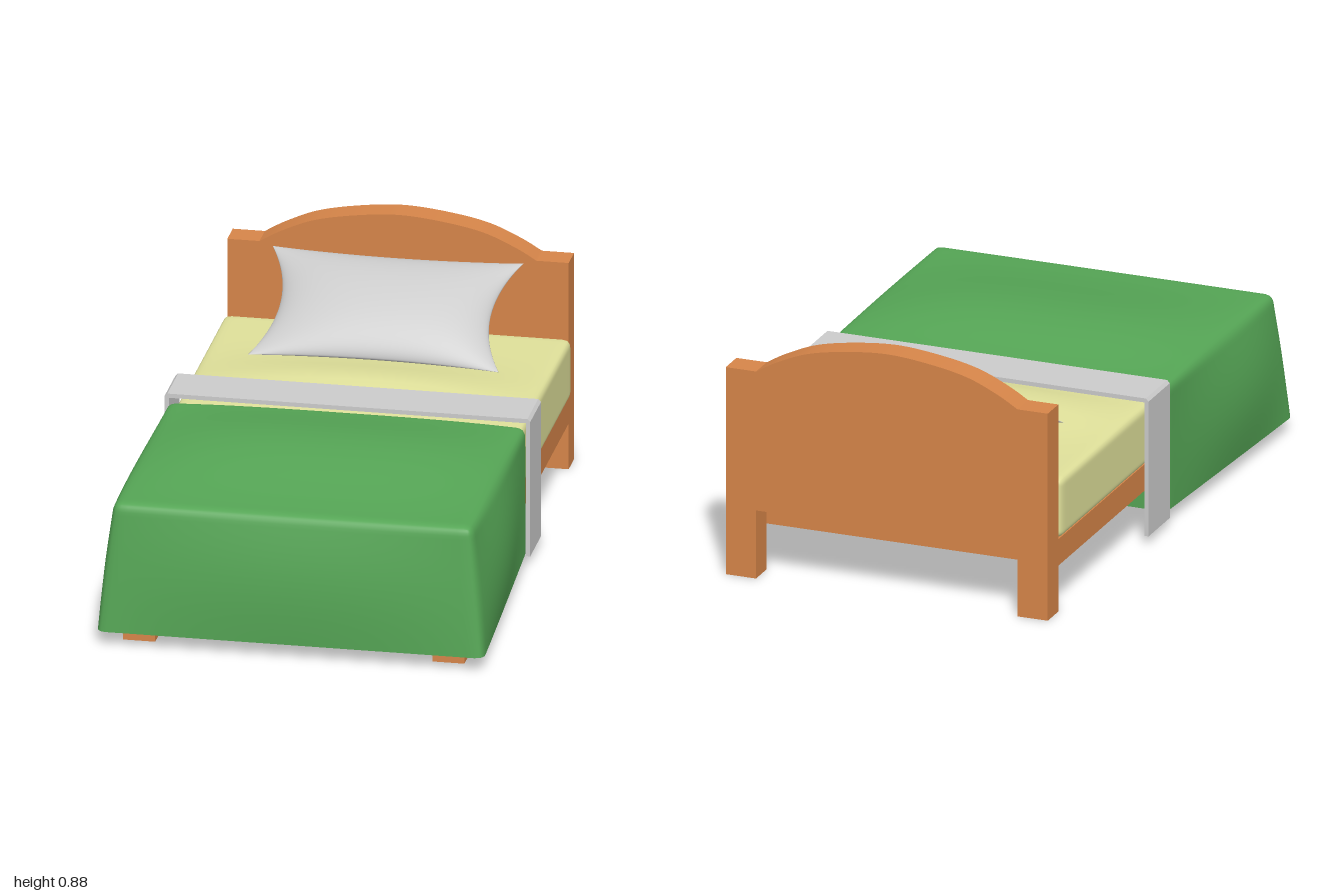
import * as THREE from 'three';
import { mergeVertices } from 'three/addons/utils/BufferGeometryUtils.js';

const material = (color, side = THREE.FrontSide) => new THREE.MeshStandardMaterial({ color, side });

function part(parent, name, geometry, mat, x = 0, y = 0, z = 0) {
  const mesh = new THREE.Mesh(geometry, mat);
  mesh.name = name;
  mesh.position.set(x, y, z);
  parent.add(mesh);
  return mesh;
}

// Moves every vertex by a rule, then welds and smooths the surface.
function warp(geometry, rule) {
  geometry.deleteAttribute('uv');
  geometry.deleteAttribute('normal');
  const pos = geometry.attributes.position;
  const p = new THREE.Vector3();
  for (let i = 0; i < pos.count; i++) {
    rule(p.fromBufferAttribute(pos, i));
    pos.setXYZ(i, p.x, p.y, p.z);
  }
  const smooth = mergeVertices(geometry, 1e-5);
  smooth.computeVertexNormals();
  return smooth;
}

// Rounded box from min to max, with its grid packed towards the edges.
// An open box has no floor and keeps its lower rim square.
function softBox(min, max, r, rule, open = false) {
  const n = 30;
  const box = new THREE.BoxGeometry(2, 2, 2, n, n, n);
  if (open) {
    const floor = box.groups[3];
    box.setIndex([...box.index.array].filter((_, i) => i < floor.start || i >= floor.start + floor.count));
  }
  const inMin = min.clone().addScalar(r), inMax = max.clone().addScalar(-r);
  if (open) inMin.y = min.y;
  const q = new THREE.Vector3();
  return warp(box, p => {
    for (const a of ['x', 'y', 'z']) {
      const s = (Math.sin(p[a] * Math.PI / 2) + 1) / 2;
      p[a] = min[a] + (max[a] - min[a]) * s;
    }
    q.copy(p).clamp(inMin, inMax);
    p.sub(q);
    if (p.lengthSq() > 0) p.setLength(r);
    p.add(q);
    rule(p);
  });
}

// Flat outline in x and y, given depth along z.
function slab(shape, z, depth) {
  return new THREE.ExtrudeGeometry(shape, { depth, bevelEnabled: false, curveSegments: 32 }).translate(0, 0, z);
}

export function createModel() {
  const bed = new THREE.Group();
  bed.name = 'bed';
  const wood = material(0xd68549);
  const V = (x, y, z) => new THREE.Vector3(x, y, z);

  // Headboard: two posts, an arched top and a gap below
  const board = new THREE.Shape();
  board.moveTo(-0.585, 0);
  board.lineTo(-0.475, 0);
  board.lineTo(-0.475, 0.245);
  board.lineTo(0.475, 0.245);
  board.lineTo(0.475, 0);
  board.lineTo(0.585, 0);
  board.lineTo(0.585, 0.745);
  board.lineTo(0.475, 0.745);
  board.splineThru([[0.4, 0.788], [0.29, 0.834], [0.15, 0.862], [0, 0.875],
    [-0.15, 0.862], [-0.29, 0.834], [-0.4, 0.788], [-0.475, 0.745]].map(a => new THREE.Vector2(...a)));
  board.lineTo(-0.585, 0.745);
  part(bed, 'headboard', slab(board, -1, 0.095), wood);

  // Frame and front legs
  part(bed, 'frame', new THREE.BoxGeometry(1.17, 0.095, 1.83), wood, 0, 0.2125, 0.01);
  for (const side of [-1, 1]) {
    part(bed, side > 0 ? 'leftFrontLeg' : 'rightFrontLeg',
      new THREE.BoxGeometry(0.11, 0.17, 0.115), wood, side * 0.53, 0.085, 0.8675);
  }

  // Mattress with a soft swell in front of the pillow
  const mattress = softBox(V(-0.595, 0.26, -0.905), V(0.595, 0.475, 0.92), 0.025, p => {
    const t = (p.z + 0.3) / (p.z < -0.3 ? 0.2 : 0.12);
    const across = Math.max(0, 1 - (p.x / 0.595) ** 2);
    p.y += 0.05 * Math.exp(-t * t) * across * Math.max(0, (p.y - 0.26) / 0.215);
  });
  part(bed, 'mattress', mattress, material(0xdfe09a));

  // Blanket: domed top, sides that flare towards the foot, open below
  const blanket = softBox(V(-0.615, 0.05, -0.015), V(0.615, 0.5, 0.95), 0.03, p => {
    const v = (p.y - 0.05) / 0.45, f = (p.z + 0.015) / 0.965, u = p.x / 0.615;
    const belly = Math.sin(Math.PI * v);
    p.x = u * (0.615 + 0.05 * f * (1 - v) + 0.035 * belly * Math.sin(Math.PI * f ** 1.5));
    p.z += f ** 4 * (0.045 * (1 - v) + 0.022 * belly * (1 - u * u));
    const dome = 0.05 * Math.sin(Math.PI * f ** 0.8) ** 2 + 0.01 * (1 - f);
    p.y += dome * (1 - Math.abs(u) ** 3) * v ** 4;
  }, true);
  part(bed, 'blanket', blanket, material(0x55a555, THREE.DoubleSide));

  // Folded sheet band over the top and down both sides
  const band = new THREE.Shape([[-0.627, 0.03], [-0.612, 0.03], [-0.612, 0.51], [0.612, 0.51],
    [0.612, 0.03], [0.627, 0.03], [0.627, 0.515], [0.617, 0.525], [-0.617, 0.525], [-0.627, 0.515]]
    .map(a => new THREE.Vector2(...a)));
  part(bed, 'foldedSheet', slab(band, -0.205, 0.19), material(0xcccccc));

  // Pillow: pinched outline, plump middle, leaning on the headboard
  const pillow = warp(new THREE.BoxGeometry(2, 2, 2, 40, 1, 32), p => {
    const u = Math.sin(p.x * Math.PI / 2), v = Math.sin(p.z * Math.PI / 2);
    const puff = Math.max(0, (1 - u * u) * (1 - v * v)) ** 0.65;
    // The bulge keeps its fullness out towards the short ends
    const full = Math.max(0, (1 - u ** 4) * (1 - v * v)) ** 0.65;
    p.set(u * (0.43 - 0.07 * (1 - v * v)), Math.sign(p.y) * 0.04 * (puff + full),
      v * (0.245 - 0.02 * (1 - u * u)));
  });
  part(bed, 'pillow', pillow, material(0xcccccc), 0, 0.618, -0.688).rotation.x = 0.48;

  return bed;
}
